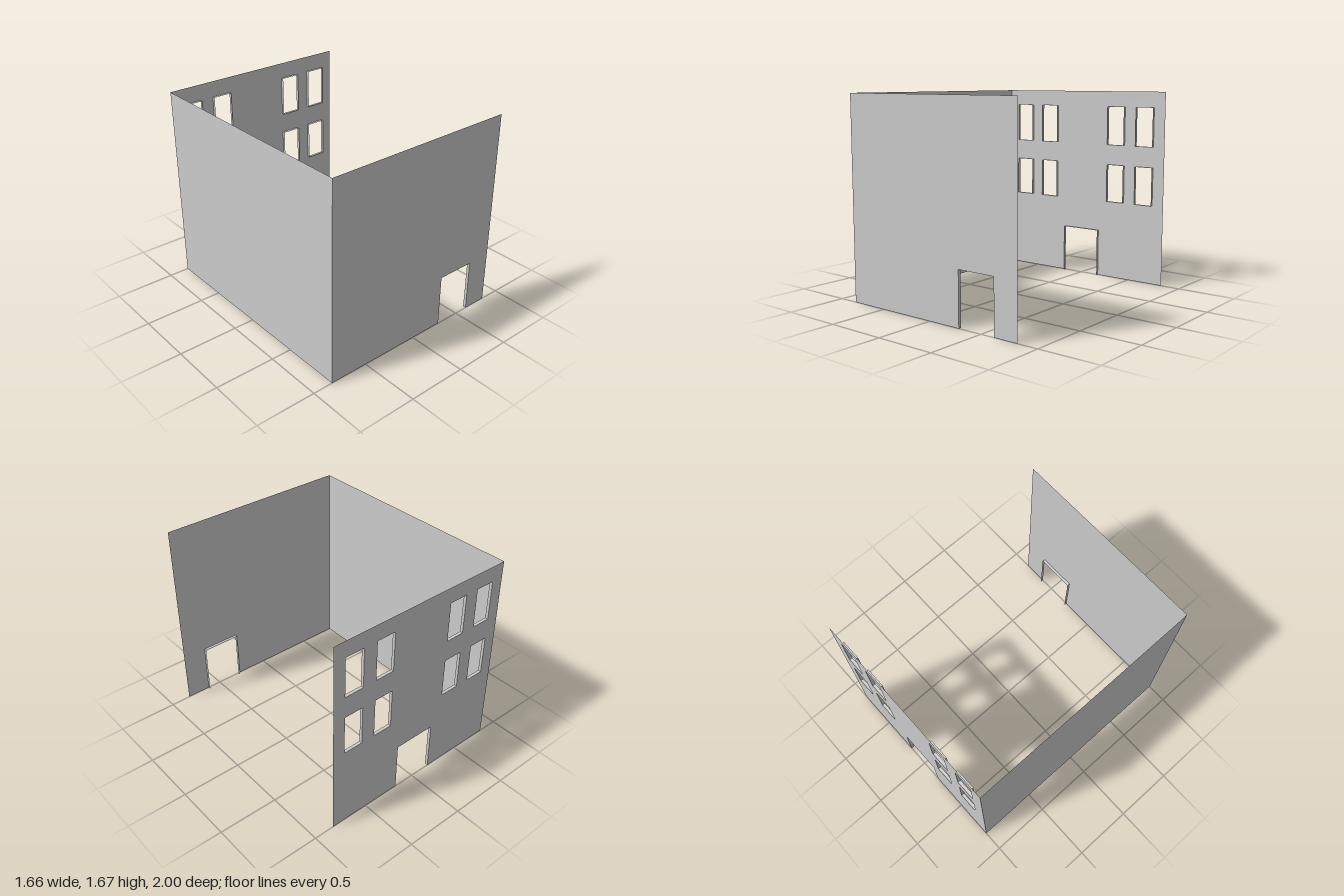
import * as THREE from 'three';

const W = 0.83, H = 1.67, D = 1, REVEAL = 0.025;
const material = new THREE.MeshStandardMaterial({ color: 0xcccccc, side: THREE.DoubleSide, flatShading: true });

function addMesh(parent, name, geometry) {
  const mesh = new THREE.Mesh(geometry, material);
  mesh.name = name;
  parent.add(mesh);
  return mesh;
}

// Thin lining that follows the edge of an opening, reaching depth into the house
function liningGeometry(points, depth) {
  const pos = [];
  for (let i = 0; i + 1 < points.length; i++) {
    const [ax, ay] = points[i], [bx, by] = points[i + 1];
    pos.push(ax, ay, 0, bx, by, 0, bx, by, depth, ax, ay, 0, bx, by, depth, ax, ay, depth);
  }
  const g = new THREE.BufferGeometry();
  g.setAttribute('position', new THREE.Float32BufferAttribute(pos, 3));
  g.computeVertexNormals();
  return g;
}

// Wall sheet with a doorway cut from its foot and rectangular window holes
function makeWall(name, z, door, windows) {
  const group = new THREE.Group();
  group.name = name;
  group.position.z = z;
  const inward = -Math.sign(z) * REVEAL;
  const vec = ([x, y]) => new THREE.Vector2(x, y);

  const doorEdge = [[door.x0, 0], [door.x0, door.h], [door.x1, door.h], [door.x1, 0]];
  const shape = new THREE.Shape([[-W, 0], ...doorEdge, [W, 0], [W, H], [-W, H]].map(vec));
  const windowEdges = windows.map(([x0, y0, x1, y1]) => [[x0, y0], [x0, y1], [x1, y1], [x1, y0]]);
  for (const edge of windowEdges) shape.holes.push(new THREE.Path(edge.map(vec)));

  const sheet = new THREE.ShapeGeometry(shape);
  if (z < 0) {
    // Turn the faces of the back wall outward
    const index = sheet.index.array;
    for (let i = 0; i < index.length; i += 3) [index[i], index[i + 1]] = [index[i + 1], index[i]];
    sheet.computeVertexNormals();
  }
  addMesh(group, name + 'Sheet', sheet);
  addMesh(group, name + 'DoorLining', liningGeometry(doorEdge, inward));
  for (const edge of windowEdges) addMesh(group, 'windowLining', liningGeometry([...edge, edge[0]], inward));
  return group;
}

export function createModel() {
  const model = new THREE.Group();
  model.name = 'houseShell';

  // Front wall with an off-centre door
  model.add(makeWall('frontWall', D, { x0: 0.29, x1: 0.62, h: 0.435 }, []));

  // Back wall with a central door and two rows of paired windows
  const windows = [];
  for (const [y0, y1] of [[0.69, 1.02], [1.2, 1.535]])
    for (const [x0, x1] of [[0.275, 0.44], [0.56, 0.725]])
      windows.push([x0, y0, x1, y1], [-x1, y0, -x0, y1]);
  model.add(makeWall('backWall', -D, { x0: -0.18, x1: 0.18, h: 0.415 }, windows));

  // Plain side wall; the opposite side is open
  const side = addMesh(model, 'sideWall', new THREE.PlaneGeometry(2 * D, H));
  side.rotation.y = -Math.PI / 2;
  side.position.set(-W, H / 2, 0);

  return model;
}
